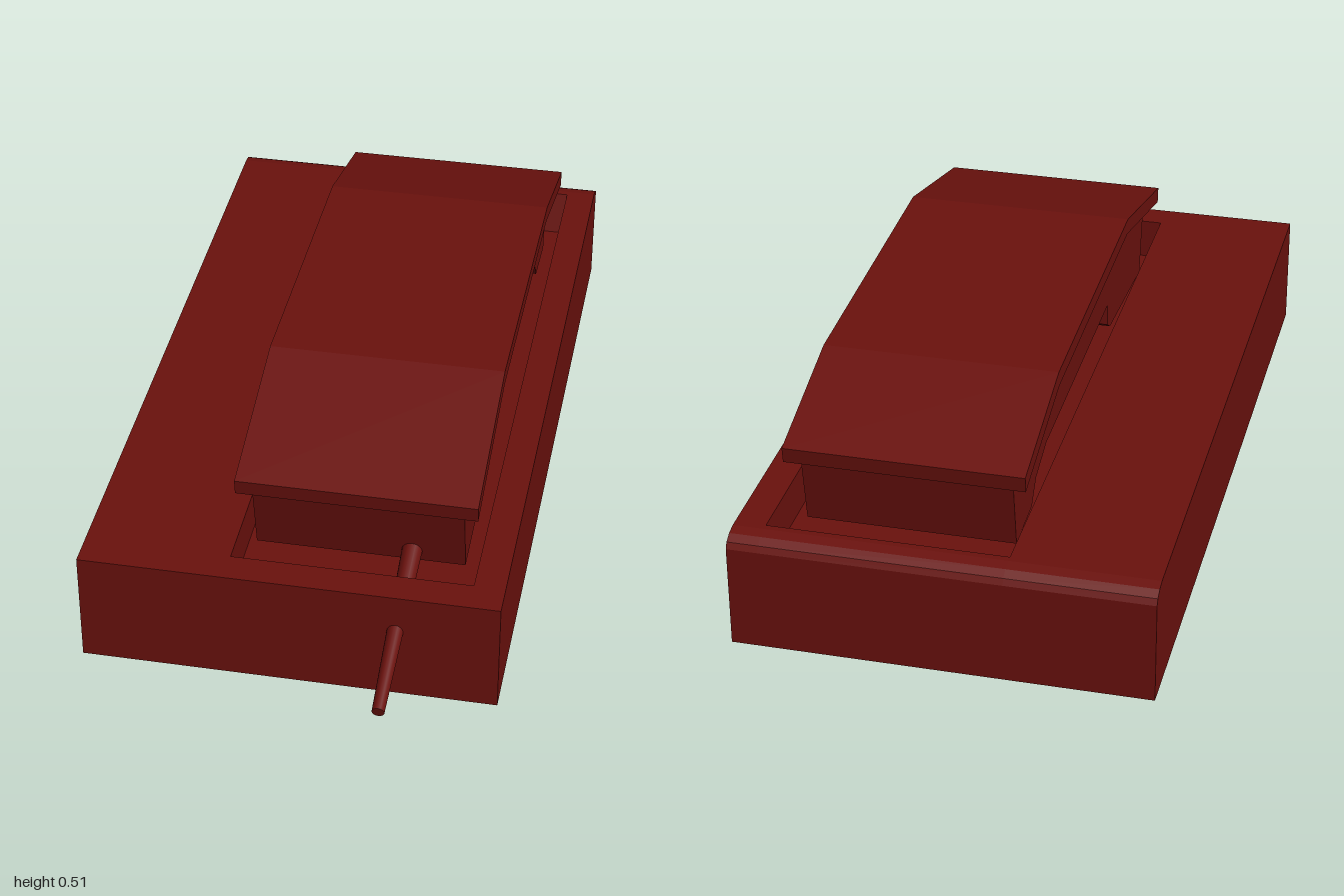
import * as THREE from 'three';

const material = new THREE.MeshStandardMaterial({ color: 0x6a110d, flatShading: true });
const smooth = new THREE.MeshStandardMaterial({ color: 0x6a110d });

// Extrudes a side profile of [z, y] points across the width from x0 to x1
function sidePart(name, points, x0, x1) {
  const shape = new THREE.Shape(points.map(([z, y]) => new THREE.Vector2(z, y)));
  const geometry = new THREE.ExtrudeGeometry(shape, { depth: x1 - x0, bevelEnabled: false });
  geometry.rotateY(-Math.PI / 2).translate(x1, 0, 0);
  const mesh = new THREE.Mesh(geometry, material);
  mesh.name = name;
  return mesh;
}

// Tapered round rod between two points
function rod(name, a, b, ra, rb) {
  const dir = b.clone().sub(a);
  const mesh = new THREE.Mesh(new THREE.CylinderGeometry(rb, ra, dir.length(), 16), smooth);
  mesh.quaternion.setFromUnitVectors(new THREE.Vector3(0, 1, 0), dir.normalize());
  mesh.position.copy(a).add(b).multiplyScalar(0.5);
  mesh.name = name;
  return mesh;
}

export function createModel() {
  const group = new THREE.Group();
  const W = 0.47, L = 0.886, H = 0.27, FLOOR = 0.17;
  const wellLeft = 0.4, wellRight = -0.14;

  // Housing: one outline with a rounded top back edge, notched for the well
  const back = [[-0.835, H], [-0.86, 0.265], [-0.879, 0.254], [-L, 0.24], [-L, 0]];
  const solid = [[L, 0], [L, H], ...back];
  const notched = [[L, 0], [L, H], [0.812, H], [0.812, FLOOR], [-0.79, FLOOR], [-0.82, H], ...back];
  const housing = new THREE.Group();
  housing.name = 'housing';
  housing.add(
    sidePart('housingRight', solid, -W, wellRight),
    sidePart('housingWell', notched, wellRight, wellLeft),
    sidePart('housingLeft', solid, wellLeft, W),
  );
  group.add(housing);

  // Rocker body, arched underneath
  group.add(sidePart('rockerBody', [
    [0.70, 0.385], [0.662, 0.20], [0.30, 0.23], [0.27, 0.25], [0.27, 0.305], [-0.38, 0.293],
    [-0.48, 0.26], [-0.52, 0.21], [-0.662, 0.20], [-0.69, 0.375], [-0.40, 0.46], [0.34, 0.48],
  ], -0.115, 0.36));

  // Bent cover plate
  const top = [[0.726, 0.412], [0.34, 0.508], [-0.40, 0.488], [-0.715, 0.402]];
  const under = top.map(([z, y]) => [z - 0.005 * Math.sign(z), y - 0.037]).reverse();
  group.add(sidePart('coverPlate', [...top, ...under], -0.148, 0.393));

  // Low ribs across the well
  for (let i = 0; i < 6; i++) {
    const z = 0.05 - i * 0.095;
    const rib = sidePart('rib', [
      [z - 0.04, FLOOR], [z + 0.04, FLOOR], [z + 0.04, 0.274], [z + 0.03, 0.281], [z - 0.03, 0.281], [z - 0.04, 0.274],
    ], -0.03, 0.28);
    group.add(rib);
  }

  // Slanted pin through the front wall
  group.add(rod('pin', new THREE.Vector3(0.24, 0.262, 0.54), new THREE.Vector3(0.24, 0.124, 1.09), 0.026, 0.014));

  // The whole assembly sits slightly turned
  group.rotation.y = 0.048;
  group.position.set(-0.0025, 0, -0.0925);
  const model = new THREE.Group();
  model.name = 'rockerSwitch';
  model.add(group);
  return model;
}
